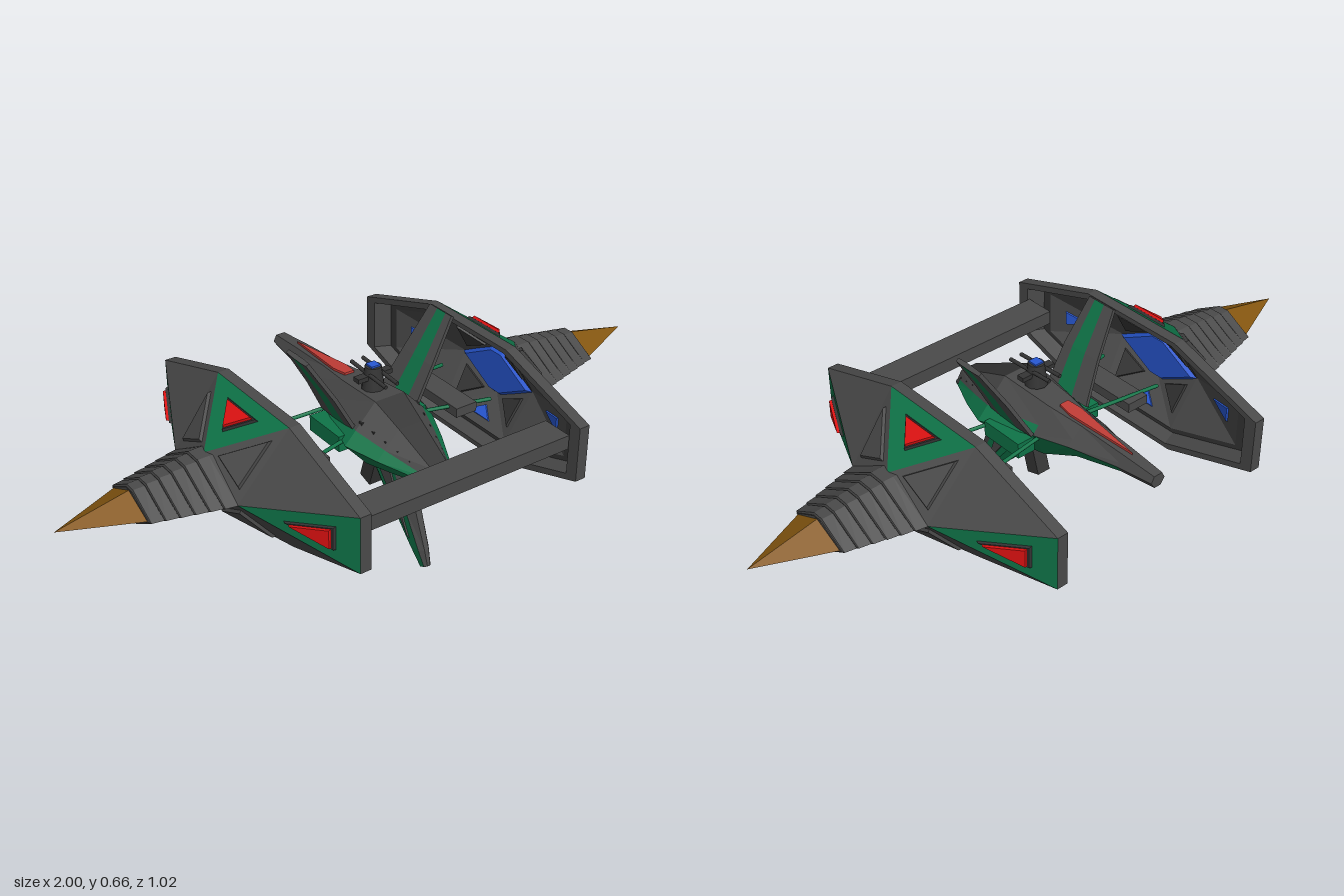
import * as THREE from 'three';

const mat = (name, color) => {
  const m = new THREE.MeshStandardMaterial({ color, side: THREE.DoubleSide });
  m.name = name;
  return m;
};
const grey = mat('hullGrey', 0x4a4a4a), dark = mat('darkGrey', 0x353535), green = mat('green', 0x0f7448);
const red = mat('red', 0xe01212), gold = mat('gold', 0x845610), blue = mat('blue', 0x2858d4);
const salmon = mat('stripeRed', 0xc03c36);
const V = (x, y, z) => new THREE.Vector3(x, y, z);
const CY = 0.378; // height of the pod axis

// Joins matching rings of points; colour(strip, span) picks each face's material
function loft(name, rings, colour, caps = []) {
  const group = new THREE.Group(), faces = new Map();
  group.name = name;
  const tri = (m, a, b, c) => {
    if (a.distanceTo(b) < 1e-5 || b.distanceTo(c) < 1e-5 || a.distanceTo(c) < 1e-5) return;
    if (!faces.has(m)) faces.set(m, []);
    for (const p of [a, b, c]) faces.get(m).push(p.x, p.y, p.z);
  };
  const n = rings[0].length;
  for (let k = 0; k + 1 < rings.length; k++) for (let i = 0; i < n; i++) {
    const a = rings[k][i], b = rings[k][(i + 1) % n], c = rings[k + 1][(i + 1) % n], d = rings[k + 1][i];
    const m = colour(i, k);
    if (i % 4 === 2) { tri(m, a, b, c); tri(m, a, c, d); } else { tri(m, a, b, d); tri(m, b, c, d); }
  }
  // caps: [ring index, material]
  for (const [k, m] of caps) for (let i = 1; i + 1 < n; i++) tri(m, rings[k][0], rings[k][i], rings[k][i + 1]);
  for (const [m, list] of faces) {
    const g = new THREE.BufferGeometry();
    g.setAttribute('position', new THREE.Float32BufferAttribute(list, 3));
    g.computeVertexNormals();
    const mesh = new THREE.Mesh(g, m);
    mesh.name = name + '_' + m.name;
    group.add(mesh);
  }
  return group;
}

// Raised bevelled panel: polygon shrunk about its centre, lifted along the normal (side = sign of normal.x)
function panel(name, pts, scale, h, m, side) {
  const c = pts.reduce((s, p) => s.add(p), V(0, 0, 0)).divideScalar(pts.length);
  const nrm = pts[1].clone().sub(pts[0]).cross(pts[2].clone().sub(pts[0])).normalize();
  if (nrm.x * side < 0) nrm.negate();
  const ring = (s, o) => pts.map(p => p.clone().sub(c).multiplyScalar(s).add(c).addScaledVector(nrm, o));
  return loft(name, [ring(scale, -0.004), ring(scale * 0.88, h)], () => m, [[1, m]]);
}

function box(name, m, w, h, d, x, y, z) {
  const mesh = new THREE.Mesh(new THREE.BoxGeometry(w, h, d), m);
  mesh.name = name;
  mesh.position.set(x, y, z);
  return mesh;
}

function rod(name, m, a, b, r) {
  const mesh = new THREE.Mesh(new THREE.CylinderGeometry(r, r, a.distanceTo(b), 8), m);
  mesh.name = name;
  mesh.position.copy(a).add(b).multiplyScalar(0.5);
  mesh.quaternion.setFromUnitVectors(V(0, 1, 0), b.clone().sub(a).normalize());
  return mesh;
}

// Pod cross-sections: octagon, its matching diamond, and the hexagon of the drill cone
const octagon = (x, s) => [[0.51, 0.0875], [0.185, 0.1925], [-0.185, 0.1925], [-0.51, 0.0875],
  [-0.51, -0.0875], [-0.185, -0.1925], [0.185, -0.1925], [0.51, -0.0875]].map(([z, y]) => V(x, CY + y * s, z * s));
const diamond = (x, s) => [[0.17, 0], [0, 0.08], [0, 0.08], [-0.17, 0],
  [-0.17, 0], [0, -0.08], [0, -0.08], [0.17, 0]].map(([z, y]) => V(x, CY + y * s, z * s));
const hexagon = (x, w, h) => [[w, 0], [w * 0.16, h], [-w * 0.16, h], [-w, 0], [-w * 0.16, -h], [w * 0.16, -h]]
  .map(([z, y]) => V(x, CY + y, z));

function makePod() {
  const pod = new THREE.Group();
  const base = octagon(0.39, 1), top = diamond(0.55, 1);
  pod.add(loft('podRim', [octagon(0.355, 0.92), octagon(0.355, 1), base], () => grey));
  pod.add(loft('podShell', [base, top], i => (i % 2 ? green : grey)));
  // Hollow inner side
  const ledge = octagon(0.4, 0.8), floor = diamond(0.49, 0.95);
  pod.add(loft('podInterior', [octagon(0.355, 0.92), octagon(0.4, 0.86), ledge, floor],
    (i, k) => (k === 1 ? dark : grey), [[3, dark]]));
  pod.add(panel('bluePanel', hexagon(0.482, 0.165, 0.075), 1, 0.006, blue, -1));
  for (let i = 0; i < 8; i++) {
    const j = (i + 1) % 8;
    if (i % 2) {
      const outer = [base[i], base[j], top[i]];
      pod.add(panel('lightFrame', outer, 0.44, 0.008, dark, 1));
      pod.add(panel('redLight', outer, 0.37, 0.016, red, 1));
      pod.add(panel('innerBluePlate', [ledge[i], ledge[j], floor[i]], 0.36, 0.005, blue, -1));
    } else {
      const flip = i % 4 === 2;
      const pick = (a, b) => (flip ? [a[i], b[j], b[i]] : [a[j], b[i], b[j]]);
      const outer = pick(base, top);
      pod.add(panel('armourTriangle', outer, 0.66, 0.009, grey, 1));
      pod.add(panel('innerArmour', pick(ledge, floor), 0.6, 0.006, dark, -1));
    }
  }
  // Stepped cone and pointed tip
  const rings = [hexagon(0.535, 0.175, 0.082)];
  const steps = 6;
  for (let k = 0; k < steps; k++) {
    const t = k / steps, x = 0.55 + 0.23 * t, w = 0.172 - 0.064 * t, h = 0.083 - 0.033 * t;
    rings.push(hexagon(x, w, h), hexagon(x + 0.034, w - 0.006, h - 0.001), hexagon(x + 0.036, w - 0.013, h - 0.008));
  }
  rings.push(hexagon(0.78, 0.105, 0.047));
  pod.add(loft('drillCone', rings, (i, k) => (k % 3 === 0 && k ? dark : grey), [[rings.length - 1, grey]]));
  const tipBase = [[0.098, 0], [0, 0.046], [-0.098, 0], [0, -0.046]].map(([z, y]) => V(0.779, CY + y, z));
  pod.add(loft('drillTip', [tipBase, tipBase.map(() => V(1, CY, 0))], () => gold));
  return pod;
}

// Slanted upper fin, green in the middle with grey edges
function makeFin() {
  const ring = (x, y, z0, z1) => {
    const at = t => z0 + (z1 - z0) * t, e = 0.005;
    return [[0, 1], [0.37, 1.3], [0.75, 1.3], [1, 1], [1, -1], [0.75, -1.3], [0.37, -1.3], [0, -1]]
      .map(([t, s]) => V(x + e * s, y - e * s * 0.55, at(t)));
  };
  return loft('upperFin', [ring(0.105, 0.41, -0.085, 0.085), ring(0.17, 0.53, -0.06, 0.08), ring(0.25, 0.66, -0.037, 0.063)],
    i => (i === 1 || i === 5 ? green : grey), [[2, grey]]);
}

function makeSide(name, sign) {
  const side = new THREE.Group();
  side.name = name;
  const pod = makePod();
  pod.name = name + 'Pod';
  side.add(pod, makeFin());
  side.add(box('sidePlate', grey, 0.075, 0.03, 0.265, 0.2625, 0.375, -0.005));
  side.add(rod('rearStrut', green, V(0.07, 0.4, -0.09), V(0.362, 0.385, -0.118), 0.006));
  side.add(rod('frontStrut', green, V(0.1, 0.385, 0.06), V(0.362, 0.375, 0.118), 0.006));
  side.add(box('sideBlock', green, 0.06, 0.05, 0.15, 0.125, 0.375, -0.005));
  side.add(rod('wingGun', dark, V(0.045, 0.36, 0.2), V(0.045, 0.355, 0.33), 0.01));
  // Ribs along the sloping front deck
  for (let k = 0; k < 6; k++) {
    const t = k / 5;
    side.add(box('deckRib', dark, 0.014, 0.01, 0.014, 0.095 - 0.055 * t, 0.44 - 0.07 * t, 0.1 + 0.21 * t));
  }
  side.scale.x = sign;
  return side;
}

// Central hull: z, half width, mid y, top y, top half width, bottom y, bottom half width
const hullSections = [
  [-0.48, 0.025, 0.43, 0.45, 0.015, 0.41, 0.012], [-0.36, 0.038, 0.425, 0.46, 0.02, 0.4, 0.02],
  [-0.2, 0.075, 0.42, 0.47, 0.026, 0.37, 0.04], [-0.08, 0.1, 0.405, 0.48, 0.04, 0.32, 0.06],
  [0.1, 0.155, 0.385, 0.495, 0.05, 0.3, 0.08], [0.2, 0.115, 0.37, 0.45, 0.04, 0.31, 0.06],
  [0.335, 0.05, 0.35, 0.385, 0.028, 0.33, 0.035]];

function makeHull() {
  const rings = hullSections.map(([z, w, ym, yt, wt, yb, wb]) => {
    const wq = w + (wt - w) * 0.35, yq = ym + (yt - ym) * 0.35;
    return [[wb, yb], [w, ym], [wq, yq], [wt, yt], [-wt, yt], [-wq, yq], [-w, ym], [-wb, yb]].map(([x, y]) => V(x, y, z));
  });
  const colour = (i, k) => {
    if (i === 0 || i === 6 || i === 7) return k === 0 ? grey : green;
    return (i === 1 || i === 5) && k >= 3 ? green : i === 3 && k >= 4 ? dark : grey;
  };
  return loft('hull', rings, colour, [[0, grey], [6, green]]);
}

// Swept lower fin, thinning downwards
function makeKeel() {
  const ring = (y, y2, z0, z1, w) => [[0, -0.4], [0, 0.4], [0.25, 1], [0.78, 1], [1, 0.4], [1, -0.4], [0.78, -1], [0.25, -1]]
    .map(([t, s]) => V(w * s, y + (y2 - y) * t, z0 + (z1 - z0) * t));
  const keel = loft('keelFin', [ring(0.33, 0.33, -0.03, 0.2, 0.032), ring(0.19, 0.2, 0.09, 0.24, 0.027),
    ring(0.06, 0.07, 0.215, 0.288, 0.019), ring(0.004, 0.02, 0.266, 0.3, 0.012)],
  i => (i >= 3 && i <= 5 ? grey : green), [[3, grey]]);
  for (const s of [-1, 1]) {
    keel.add(panel('keelPlate', [V(0.031 * s, 0.29, 0.08), V(0.031 * s, 0.29, 0.15), V(0.021 * s, 0.08, 0.235)], 1, 0.004, grey, s));
  }
  return keel;
}

export function createModel() {
  const model = new THREE.Group();
  model.name = 'spacecraft';
  model.add(makeSide('left', 1), makeSide('right', -1), makeHull(), makeKeel());
  model.add(box('crossBar', grey, 0.72, 0.045, 0.1, 0, 0.398, 0.415));

  // Stripe on the rear spine
  const stripe = [[0, 0.4655, -0.38], [0.022, 0.4815, -0.15], [0.016, 0.4855, -0.1], [-0.016, 0.4855, -0.1], [-0.022, 0.4815, -0.15]]
    .map(p => V(...p));
  model.add(loft('spineStripe', [stripe.map(p => p.clone().setY(p.y - 0.008)), stripe], () => salmon, [[1, salmon]]));

  // Turret with twin guns
  const turret = new THREE.Mesh(new THREE.CylinderGeometry(0.025, 0.035, 0.07, 10), dark);
  turret.name = 'turret';
  turret.position.set(0, 0.525, 0.02);
  model.add(turret, box('turretBar', dark, 0.12, 0.014, 0.025, 0, 0.53, 0.02), box('turretWindow', blue, 0.03, 0.008, 0.03, 0, 0.5615, 0.02));
  for (const s of [-1, 1]) model.add(rod('turretGun', dark, V(0.02 * s, 0.545, -0.06), V(0.02 * s, 0.535, 0.11), 0.006));

  // Belly thruster
  const thruster = box('bellyThruster', dark, 0.045, 0.14, 0.05, 0, 0.242, 0.03);
  thruster.rotation.x = 0.3;
  model.add(thruster);
  return model;
}
